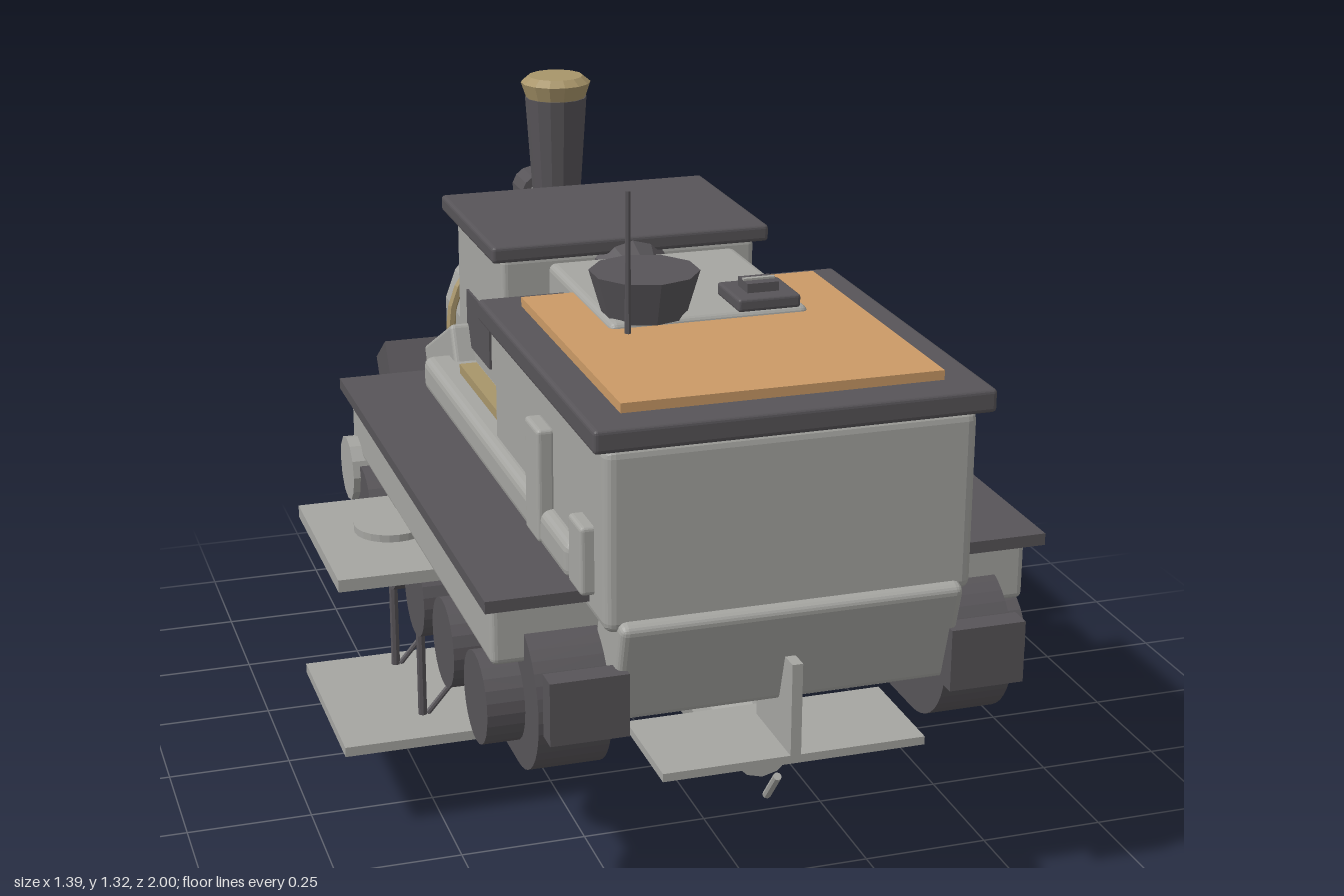
import * as THREE from 'three';
import { RoundedBoxGeometry } from 'three/addons/geometries/RoundedBoxGeometry.js';

export function createModel() {
  const root = new THREE.Group();
  root.name = 'armouredTrainPlane';
  const mat = (name, color) => {
    const m = new THREE.MeshStandardMaterial({ color, flatShading: true });
    m.name = name;
    return m;
  };
  const grey = mat('steelGrey', 0xa5a5a1);
  const dark = mat('darkIron', 0x575458);
  const orange = mat('warmOrange', 0xcb9a66);
  const gold = mat('brass', 0xa8956a);

  const add = (name, geo, m, x = 0, y = 0, z = 0) => {
    const mesh = new THREE.Mesh(geo, m);
    mesh.name = name;
    mesh.position.set(x, y, z);
    root.add(mesh);
    return mesh;
  };
  // Boxes are given by their extents on each axis; r rounds the edges.
  const box = (name, m, [x0, x1], [y0, y1], [z0, z1], r = 0) => {
    const s = [x1 - x0, y1 - y0, z1 - z0];
    const geo = r ? new RoundedBoxGeometry(...s, 2, r) : new THREE.BoxGeometry(...s);
    return add(name, geo, m, (x0 + x1) / 2, (y0 + y1) / 2, (z0 + z1) / 2);
  };
  // Cylinder along z: rFront is the radius at the +z end.
  const cylZ = (name, m, rFront, rBack, z0, z1, x, y, n = 16) =>
    add(name, new THREE.CylinderGeometry(rFront, rBack, z1 - z0, n).rotateX(Math.PI / 2), m, x, y, (z0 + z1) / 2);
  const cylX = (name, m, r, x0, x1, y, z, n = 24) =>
    add(name, new THREE.CylinderGeometry(r, r, Math.abs(x1 - x0), n).rotateZ(Math.PI / 2), m, (x0 + x1) / 2, y, z);
  const cylY = (name, m, rTop, rBase, y0, y1, x, z, n = 16) =>
    add(name, new THREE.CylinderGeometry(rTop, rBase, y1 - y0, n), m, x, (y0 + y1) / 2, z);
  const rod = (name, m, a, b, r, n = 8) => {
    const p = new THREE.Vector3(...a), d = new THREE.Vector3(...b).sub(p);
    const mesh = add(name, new THREE.CylinderGeometry(r, r, d.length(), n), m);
    mesh.position.copy(p).addScaledVector(d, 0.5);
    mesh.quaternion.setFromUnitVectors(new THREE.Vector3(0, 1, 0), d.normalize());
    return mesh;
  };
  const sideSpan = (s, a, b) => (s > 0 ? [a, b] : [-b, -a]);

  // Hull between the tracks
  box('hull', grey, [-0.31, 0.31], [0.49, 0.72], [-0.36, 0.88], 0.02);
  box('upperHull', grey, [-0.37, 0.37], [0.69, 0.765], [-0.31, 0.81], 0.02);
  const glacis = add('slopedPlate', new RoundedBoxGeometry(0.63, 0.2, 0.29, 2, 0.01), grey, 0, 0.685, -0.365);
  glacis.rotation.x = -0.46;
  const nose = add('lowerFrontPlate', new RoundedBoxGeometry(0.645, 0.21, 0.14, 2, 0.015), grey, 0, 0.585, 0.895);
  nose.rotation.x = 0.28;

  // Running gear on each side
  const trackShape = new THREE.Shape();
  const R = 0.143;
  trackShape.absarc(-0.78, 0.478, R, Math.PI / 2, Math.PI * 1.5);
  trackShape.absarc(0.285, 0.478, R, -Math.PI / 2, Math.PI / 2);
  trackShape.closePath();
  for (const s of [1, -1]) {
    const [tx] = sideSpan(s, 0.32, 0.455);
    const track = new THREE.ExtrudeGeometry(trackShape, { depth: 0.135, bevelEnabled: false, curveSegments: 10 });
    add('track', track.rotateY(Math.PI / 2), dark, tx, 0, 0);
    for (const z of [0.745, 0.495, 0.25, 0.005, -0.24])
      cylX('roadWheel', dark, 0.087, s * 0.44, s * 0.525, 0.46, z);
    cylX('sprocket', grey, 0.07, s * 0.44, s * 0.54, 0.52, -0.325, 12);
    box('sideSkirt', grey, sideSpan(s, 0.3, 0.515), [0.555, 0.68], [-0.375, 0.83], 0.012);
    box('fender', dark, sideSpan(s, 0.3, 0.535), [0.677, 0.7], [-0.4, 0.87]);
    box('mudFlap', dark, sideSpan(s, 0.305, 0.45), [0.46, 0.58], [0.935, 0.98]);
    box('sideLocker', grey, sideSpan(s, 0.335, 0.37), [0.7, 0.83], [0.82, 0.9], 0.008);
  }

  // Rear wagon with a dark roof and an orange load
  box('wagon', grey, [-0.345, 0.345], [0.65, 0.995], [0.21, 0.967], 0.02);
  box('wagonRoof', dark, [-0.37, 0.37], [0.993, 1.037], [0.19, 0.985], 0.008);
  box('wagonLoad', orange, [-0.3, 0.3], [1.03, 1.055], [0.26, 0.91]);
  box('sidePlate', grey, [-0.375, -0.34], [0.7, 0.92], [0.55, 0.64], 0.008);
  box('brassRail', gold, [-0.322, -0.285], [0.76, 0.785], [-0.17, 0.17]);

  // Turret, cannon and roof fittings
  box('turretBase', grey, [-0.26, 0.26], [0.75, 0.91], [0.03, 0.24], 0.015);
  box('turret', grey, [-0.197, 0.197], [0.88, 1.066], [0.08, 0.51], 0.015);
  cylZ('mantlet', dark, 0.05, 0.085, 0.0, 0.1, 0, 1.0, 12);
  cylZ('gunBarrel', grey, 0.032, 0.028, -0.7, 0.05, 0, 1.0, 14);
  cylZ('muzzle', dark, 0.046, 0.046, -0.765, -0.68, 0, 1.0, 14);
  cylY('cupola', dark, 0.105, 0.08, 1.06, 1.145, -0.11, 0.445, 10);
  cylY('antenna', dark, 0.005, 0.006, 1.05, 1.325, -0.172, 0.54, 6);
  box('hatch', dark, [0.055, 0.18], [1.064, 1.09], [0.385, 0.51], 0.006);
  box('hatchStep', dark, [0.085, 0.148], [1.09, 1.108], [0.42, 0.475]);
  box('hatchHandle', grey, [0.085, 0.148], [1.107, 1.112], [0.443, 0.453]);

  // Driver's cab
  box('cab', grey, [-0.27, 0.27], [0.7, 1.055], [-0.385, 0.0], 0.012);
  box('cabRoof', dark, [-0.295, 0.295], [1.052, 1.087], [-0.42, 0.02], 0.008);
  box('cabFrontPanel', orange, [-0.235, 0.235], [0.82, 1.045], [-0.405, -0.38]);
  for (const s of [1, -1])
    box('cabWindow', dark, sideSpan(s, 0.268, 0.275), [0.79, 0.91], [-0.29, -0.1]);

  // Boiler, bands, smokebox flare and buffer beam
  cylZ('boiler', grey, 0.218, 0.197, -0.83, -0.38, 0, 0.695, 18);
  for (const [z, r] of [[-0.56, 0.217], [-0.71, 0.212]])
    add('boilerBand', new THREE.TorusGeometry(r, 0.011, 6, 28), gold, 0, 0.695, z);
  cylZ('smokeboxFlare', dark, 0.075, 0.147, -0.92, -0.825, 0, 0.69, 18);
  const beam = add('bufferBeam', new THREE.BoxGeometry(0.66, 0.198, 0.128), dark, 0, 0.495, -0.89);
  beam.rotation.x = -0.59;

  // Chimney with a brass cap, and a whistle
  cylY('chimney', dark, 0.068, 0.042, 0.87, 1.255, 0, -0.55, 14);
  const cap = [[0, 1.25], [0.064, 1.25], [0.077, 1.288], [0.06, 1.302], [0, 1.302]];
  add('chimneyCap', new THREE.LatheGeometry(cap.map(p => new THREE.Vector2(...p)), 14), gold, 0, 0, -0.55);
  rod('whistlePipe', orange, [0.15, 0.91, -0.39], [0.15, 0.845, -0.52], 0.016);
  add('whistleBall', new THREE.SphereGeometry(0.024, 10, 8), gold, 0.145, 0.855, -0.52);

  // Aeroplane body slung underneath
  cylZ('fuselage', grey, 0.06, 0.14, -0.2, 0.83, 0, 0.32, 12);
  cylZ('engineCowl', grey, 0.16, 0.15, -0.34, -0.2, 0, 0.32, 12);
  cylZ('propellerDisc', dark, 0.272, 0.272, -0.367, -0.353, 0, 0.32, 18);
  add('propellerHub', new THREE.SphereGeometry(0.032, 10, 8), grey, 0, 0.32, -0.385);
  rod('exhaust', dark, [0.138, 0.28, -0.1], [0.138, 0.25, -0.24], 0.013);
  box('tailPlane', grey, [-0.25, 0.25], [0.371, 0.387], [0.78, 1.0]);
  box('tailFin', grey, [-0.01, 0.01], [0.375, 0.565], [0.82, 1.0]);
  rod('tailSkid', grey, [0, 0.3, 0.91], [0, 0.235, 0.855], 0.008);

  // Biplane wings and roundels
  box('lowerWing', grey, [-0.695, 0.695], [0.175, 0.195], [-0.055, 0.355]);
  box('upperWing', grey, [-0.695, 0.695], [0.525, 0.55], [-0.06, 0.352]);
  for (const s of [1, -1]) {
    cylY('wingDisc', grey, 0.075, 0.075, 0.548, 0.565, s * 0.54, 0.12, 24);
    for (const z of [0.25, 0.0]) {
      rod('wingStrut', dark, [s * 0.515, 0.19, z], [s * 0.515, 0.53, z], 0.009);
      rod('diagonalStrut', dark, [s * 0.505, 0.195, z], [s * 0.26, 0.48, z], 0.006);
    }
    cylX('landingWheel', dark, 0.062, s * 0.16, s * 0.193, 0.064, 0.03, 18);
    rod('wheelLeg', dark, [s * 0.176, 0.07, 0.03], [s * 0.176, 0.25, 0.02], 0.009);
  }
  return root;
}
